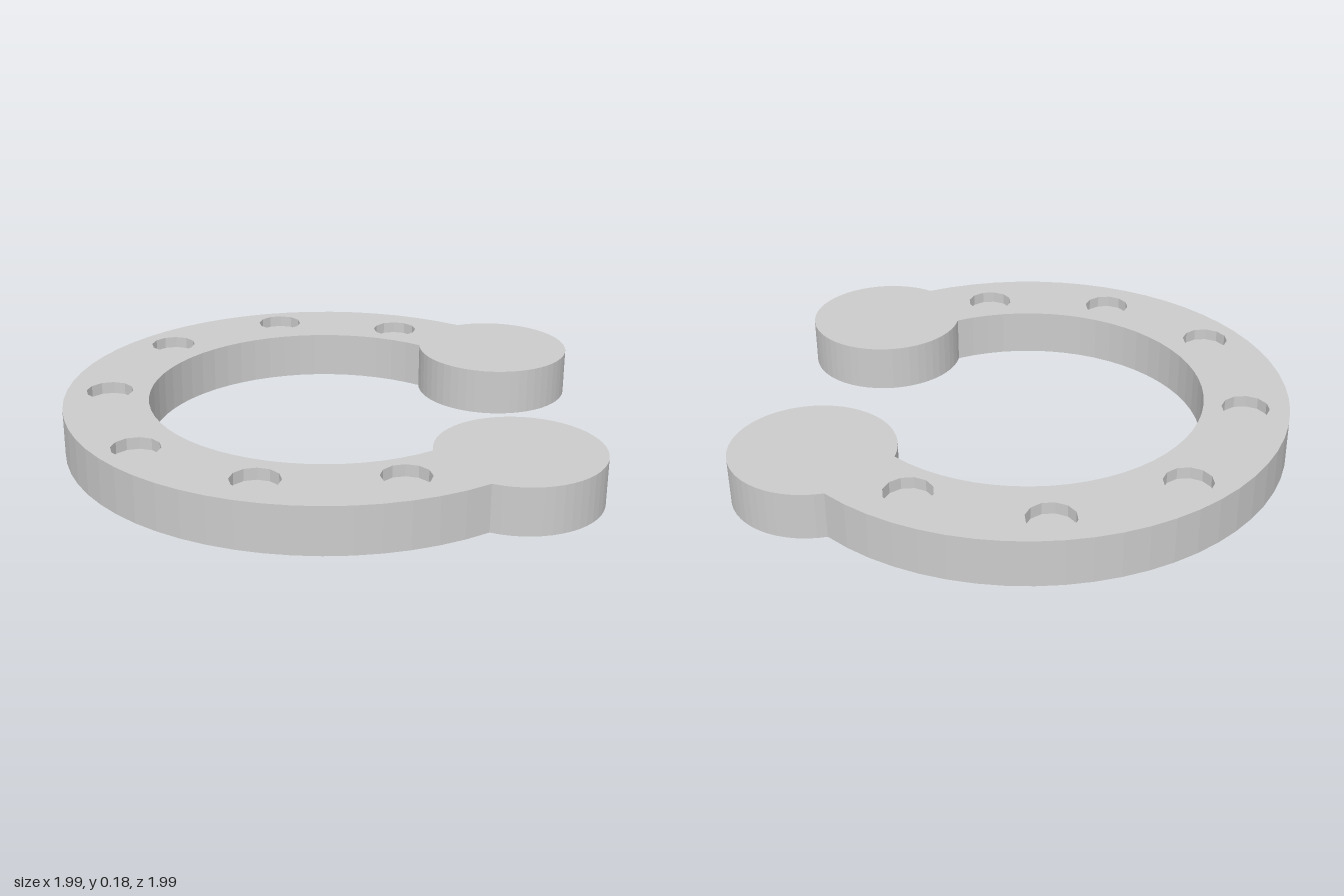
import * as THREE from 'three';

const HEIGHT = 0.18, OUTER = 0.996, INNER = 0.673;
const PAD = { x: 0.694, z: 0.54, r: 0.305 };
const HOLE_R = 0.09, HOLE_SIDES = 12, HOLE_DEPTH = 0.045;
// nail hole centres (x, z)
const HOLES = [
  [0.29, -0.76], [-0.215, -0.835], [-0.65, -0.543], [-0.83, 0],
  [-0.65, 0.543], [-0.215, 0.795], [0.29, 0.757],
];

// angle on a ring of radius R where it meets the edge of the +z pad
function junction(R) {
  const d = Math.hypot(PAD.x, PAD.z);
  return Math.atan2(PAD.z, PAD.x) + Math.acos((R * R + d * d - PAD.r ** 2) / (2 * R * d));
}

// angle of that same meeting point, measured around the pad centre
function padAngle(R) {
  const a = junction(R);
  return Math.atan2(R * Math.sin(a) - PAD.z, R * Math.cos(a) - PAD.x);
}

function polygon(x, z, r, sides) {
  return Array.from({ length: sides }, (_, i) => {
    const a = (i / sides) * Math.PI * 2;
    return new THREE.Vector2(x + r * Math.sin(a), z + r * Math.cos(a));
  });
}

export function createModel() {
  const group = new THREE.Group();
  group.name = 'horseshoe';
  const material = new THREE.MeshStandardMaterial({ color: 0xcccccc, flatShading: true });

  // open ring with a round pad at each end, one closed outline (shape y = model z)
  const full = Math.PI * 2;
  const jo = junction(OUTER), ji = junction(INNER);
  const po = padAngle(OUTER), pi = padAngle(INNER);
  const outline = new THREE.Shape();
  outline.absarc(0, 0, OUTER, jo, full - jo, false);
  outline.absarc(PAD.x, -PAD.z, PAD.r, -po, full - pi, false);
  outline.absarc(0, 0, INNER, full - ji, ji, true);
  outline.absarc(PAD.x, PAD.z, PAD.r, pi, full + po, false);
  for (const [x, z] of HOLES) outline.holes.push(new THREE.Path(polygon(x, z, HOLE_R, HOLE_SIDES)));

  const bodyGeometry = new THREE.ExtrudeGeometry(outline, {
    depth: HEIGHT, bevelEnabled: false, curveSegments: 22,
  });
  bodyGeometry.rotateX(Math.PI / 2).translate(0, HEIGHT, 0);
  const body = new THREE.Mesh(bodyGeometry, material);
  body.name = 'shoeBody';
  group.add(body);

  // plugs close each hole halfway, leaving a shallow recess above and below
  const plugGeometry = new THREE.CylinderGeometry(HOLE_R, HOLE_R, HEIGHT - 2 * HOLE_DEPTH, HOLE_SIDES);
  HOLES.forEach(([x, z], i) => {
    const plug = new THREE.Mesh(plugGeometry, material);
    plug.name = `nailHoleFloor${i + 1}`;
    plug.position.set(x, HEIGHT / 2, z);
    group.add(plug);
  });

  return group;
}
